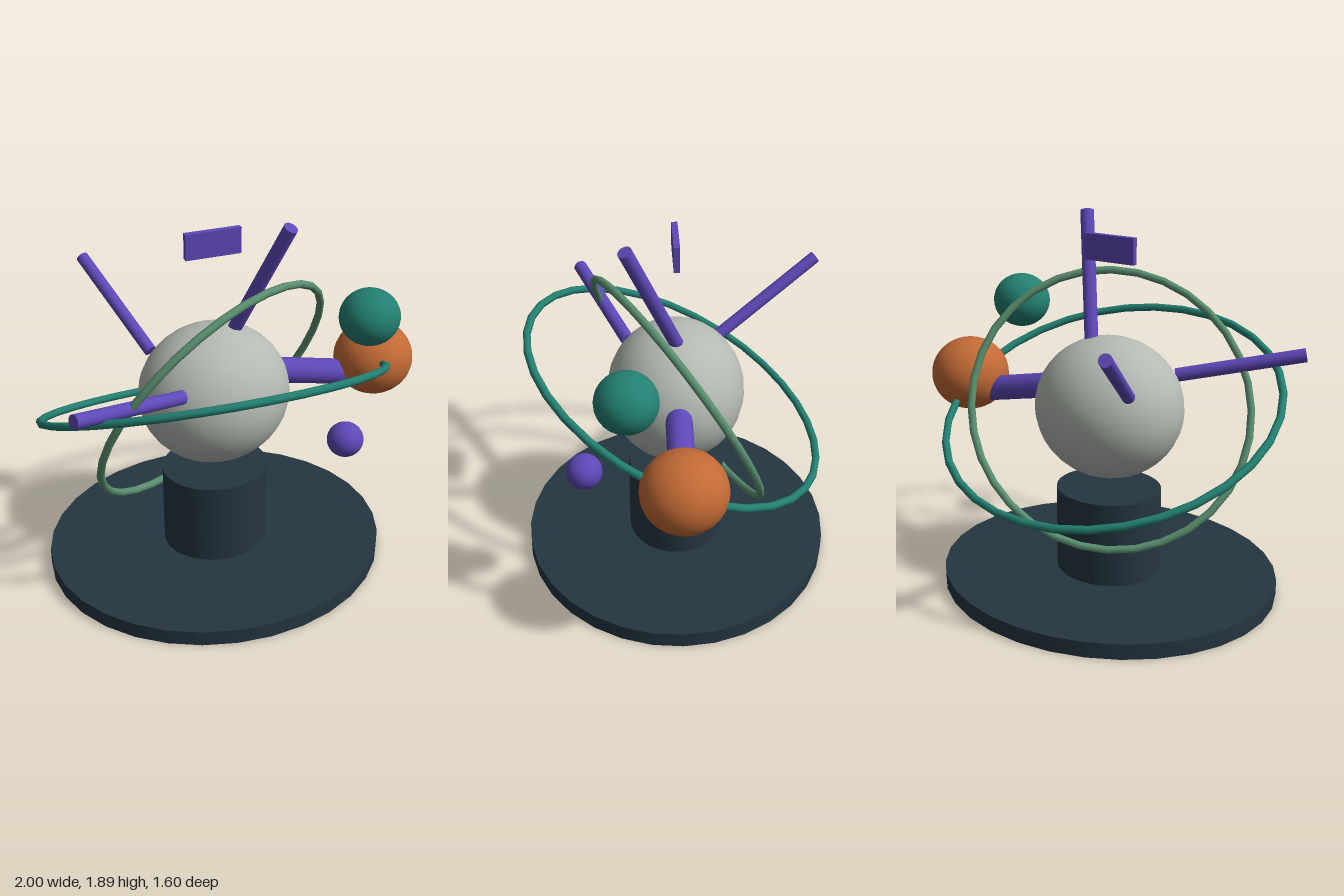
import * as THREE from 'three';

const mat = (name, color, extra = {}) => {
  const m = new THREE.MeshStandardMaterial({ color, ...extra });
  m.name = name;
  return m;
};

// Closed ellipse given by a centre and two conjugate half-axes
class EllipseLoop extends THREE.Curve {
  constructor(center, a, b) {
    super();
    Object.assign(this, { center, a, b });
  }
  getPoint(t, target = new THREE.Vector3()) {
    const w = t * Math.PI * 2;
    return target.copy(this.center).addScaledVector(this.a, Math.cos(w)).addScaledVector(this.b, Math.sin(w));
  }
}

export function createModel() {
  const slate = mat('dark slate', 0x243642);
  const stone = mat('pale stone', 0xb4bab2);
  const orange = mat('burnt orange', 0xc26a35);
  const teal = mat('teal', 0x238072);
  const green = mat('sage green', 0x5a8f70);
  const purple = mat('violet', 0x5e48b8);

  const group = new THREE.Group();
  const v = (x, y, z) => new THREE.Vector3(x, y, z);
  const cx = -0.095;

  const add = (name, geometry, material, pos = [0, 0, 0], scale = [1, 1, 1]) => {
    const mesh = new THREE.Mesh(geometry, material);
    mesh.name = name;
    mesh.position.set(...pos);
    mesh.scale.set(...scale);
    group.add(mesh);
    return mesh;
  };
  const ball = (name, material, pos, radii) =>
    add(name, new THREE.SphereGeometry(1, 32, 20), material, pos, radii);
  const rod = (name, from, to, radius) => {
    const dir = to.clone().sub(from);
    const mesh = add(name, new THREE.CylinderGeometry(radius, radius, dir.length(), 16), purple);
    mesh.position.copy(from).addScaledVector(dir, 0.5);
    mesh.quaternion.setFromUnitVectors(v(0, 1, 0), dir.normalize());
  };
  const ring = (name, material, a, b) =>
    add(name, new THREE.TubeGeometry(new EllipseLoop(v(cx, 0.945, 0), a, b), 32, 0.02, 8, true), material);

  // Oval base and pedestal
  add('base', new THREE.CylinderGeometry(1, 1, 0.08, 32), slate, [cx, 0.04, 0], [0.885, 1, 0.8]);
  add('pedestal', new THREE.CylinderGeometry(1, 1, 0.44, 32), slate, [cx, 0.3, 0], [0.275, 1, 0.25]);

  // Spheres
  ball('centralSphere', stone, [cx, 0.95, 0], [0.385, 0.36, 0.35]);
  ball('largeOrb', orange, [0.793, 0.98, 0], [0.207, 0.194, 0.206]);
  ball('mediumOrb', teal, [0.625, 1.355, 0.25], [0.152, 0.142, 0.148]);
  ball('smallOrb', purple, [0.418, 0.822, 0.463], [0.09, 0.087, 0.088]);

  // Tilted orbit rings
  ring('outerRing', teal, v(0.88, 0, 0), v(0, 0.352, 0.735));
  ring('innerRing', green, v(0.165, 0.635, 0.27), v(0.637, 0, -0.307));

  // Rods radiating from the central sphere
  rod('topRod', v(0.012, 1.28, 0), v(0.197, 1.875, 0.242), 0.035);
  rod('leftRod', v(-0.34, 1.095, 0.24), v(-0.925, 1.23, 0.495), 0.035);
  rod('backRod', v(-0.35, 1.11, -0.235), v(-0.55, 1.45, -0.75), 0.032);
  rod('orbArm', v(0.25, 1.005, 0), v(0.68, 0.91, 0), 0.066);

  // Floating plate above
  add('plate', new THREE.BoxGeometry(0.28, 0.13, 0.03), purple, [-0.095, 1.75, 0]);

  return group;
}
